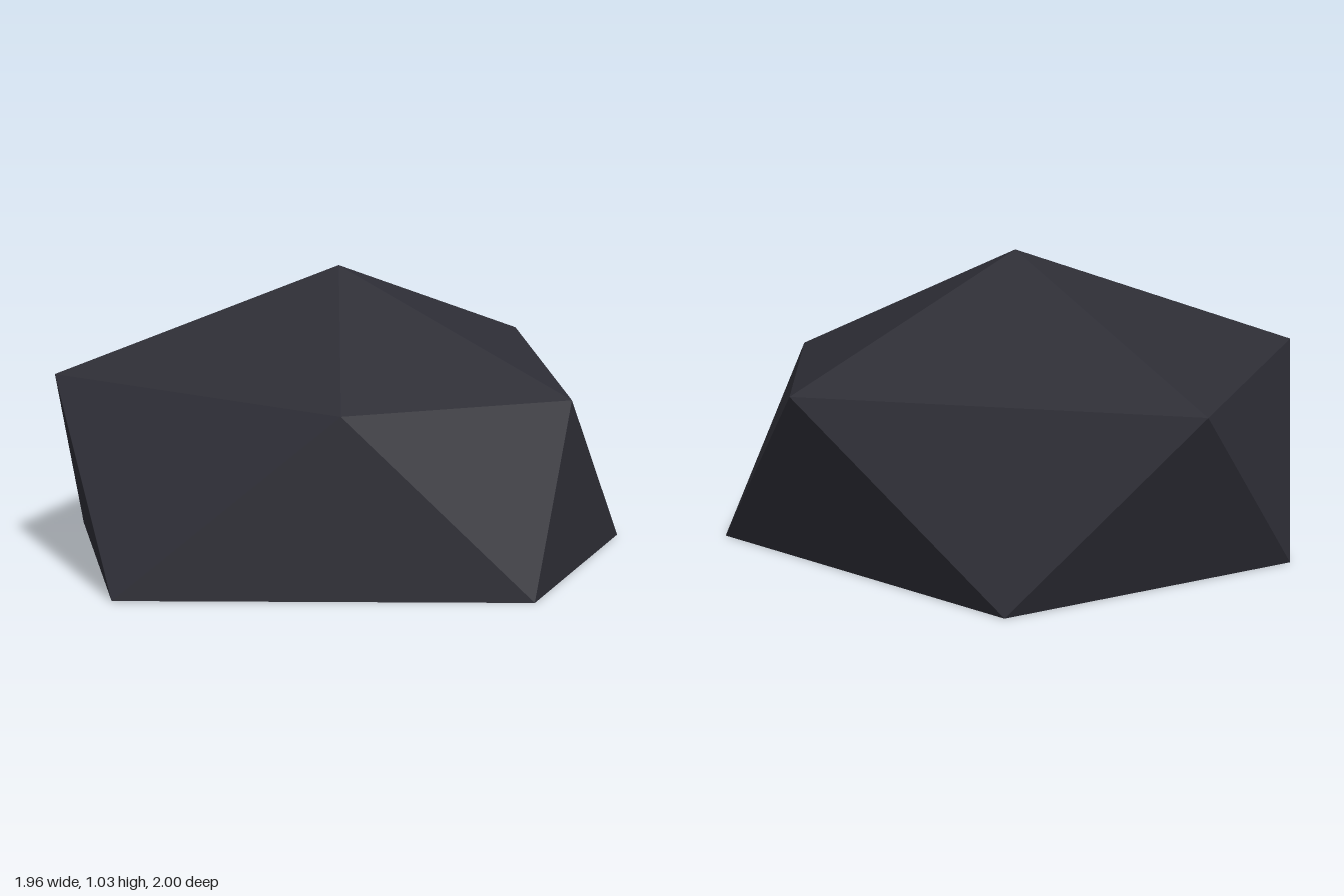
import * as THREE from 'three';

export function createModel() {
  const group = new THREE.Group();
  group.name = 'boulder';
  const stone = new THREE.MeshStandardMaterial({ color: 0x2d2d35, flatShading: true });
  stone.name = 'dark stone';

  // Peak, shoulder ring and ground ring; each ground corner sits between two shoulders
  const peak = [0.07, 1.03, -0.03];
  const shoulder = [
    [0.94, 0.59, -0.03], [0.36, 0.61, 0.70], [-0.80, 0.66, 0.50],
    [-0.85, 0.68, -0.59], [0.45, 0.71, -1.0],
  ];
  const ground = [
    [0.97, 0, 0.51], [-0.33, 0, 1.0], [-0.98, 0, -0.03],
    [-0.26, 0, -0.88], [0.98, 0, -0.58],
  ];

  const positions = [];
  const face = (...corners) => corners.forEach((c) => positions.push(...c));
  for (let i = 0; i < 5; i++) {
    const j = (i + 1) % 5;
    face(peak, shoulder[j], shoulder[i]);        // crown
    face(shoulder[i], shoulder[j], ground[i]);   // upper side
    face(shoulder[j], ground[j], ground[i]);     // lower side
    face([0, 0, 0], ground[i], ground[j]);       // underside
  }

  const geometry = new THREE.BufferGeometry();
  geometry.setAttribute('position', new THREE.Float32BufferAttribute(positions, 3));
  geometry.computeVertexNormals();
  const rock = new THREE.Mesh(geometry, stone);
  rock.name = 'rock';
  group.add(rock);
  return group;
}
